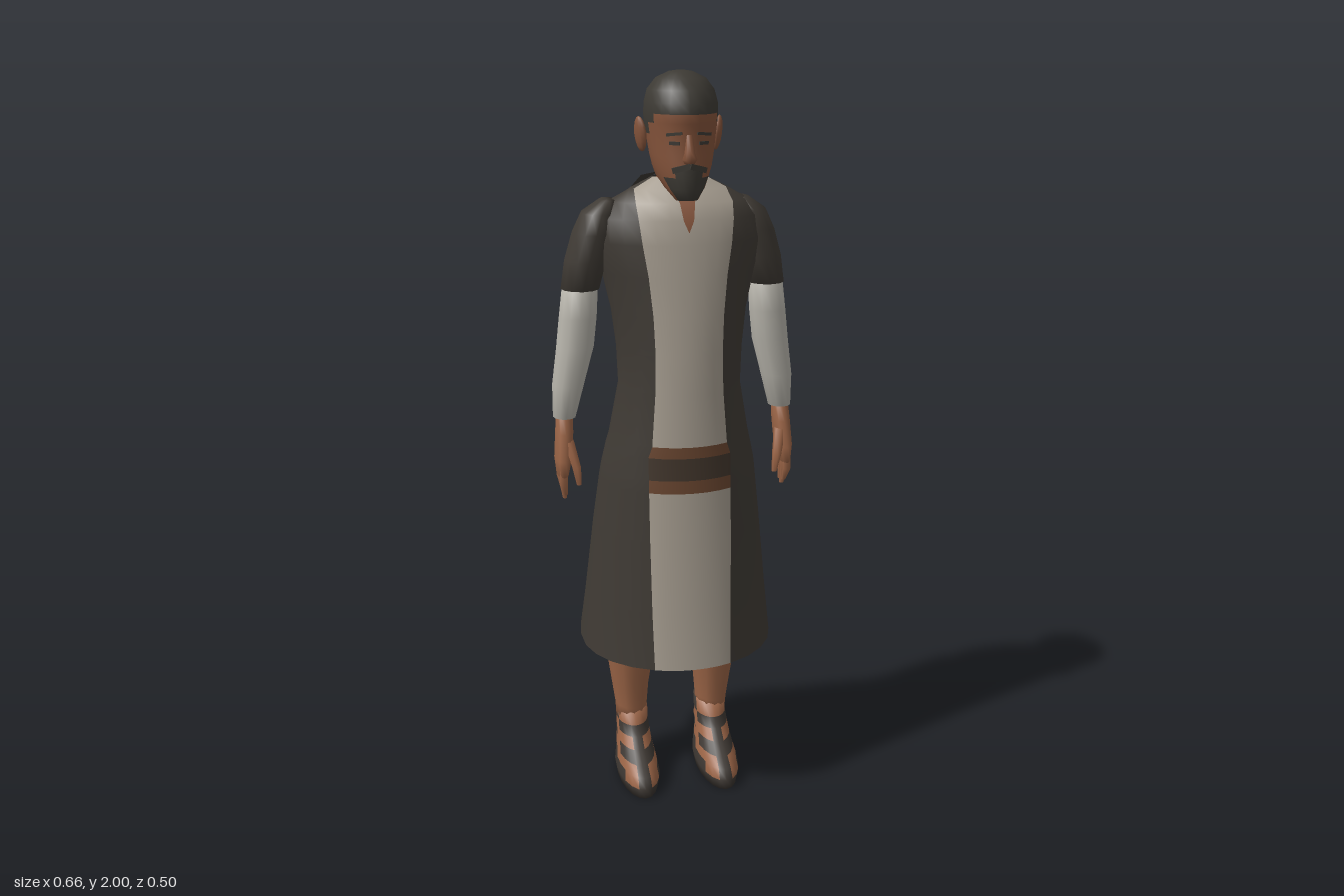
import * as THREE from 'three';

const mat = (name, color, side = THREE.FrontSide) => {
  const m = new THREE.MeshStandardMaterial({ color, side });
  m.name = name;
  return m;
};

// Skin closed rings of points (listed upwards); pick(row, col) gives a material index.
function skinRings(name, rows, mats, pick = () => 0, caps = true) {
  const n = rows[0].length, pos = rows.flat(2);
  const lists = mats.map(() => []);
  for (let i = 0; i < rows.length - 1; i++) {
    for (let j = 0; j < n; j++) {
      const k = (j + 1) % n, a = i * n + j, b = i * n + k;
      lists[pick(i, j)].push(a, b, a + n, b, b + n, a + n);
    }
  }
  if (caps) {
    const last = rows.length - 1;
    for (const i of [0, last]) {
      const c = pos.length / 3;
      for (let q = 0; q < 3; q++) pos.push(rows[i].reduce((s, p) => s + p[q], 0) / n);
      for (let j = 0; j < n; j++) {
        const a = i * n + j, b = i * n + (j + 1) % n;
        lists[pick(i ? last - 1 : 0, j)].push(...(i ? [c, a, b] : [c, b, a]));
      }
    }
  }
  const g = new THREE.BufferGeometry();
  g.setAttribute('position', new THREE.Float32BufferAttribute(pos, 3));
  g.setIndex(lists.flat());
  let start = 0;
  lists.forEach((l, i) => { g.addGroup(start, l.length, i); start += l.length; });
  g.computeVertexNormals();
  const mesh = new THREE.Mesh(g, mats.length > 1 ? mats : mats[0]);
  mesh.name = name;
  return mesh;
}

// Stack of horizontal ellipses [y, x, z, rx, rz]; s mirrors x.
function loft(name, rings, mats, seg = 10, s = 1, pick) {
  const rows = rings.map(([y, x, z, rx, rz]) => Array.from({ length: seg }, (_, j) => {
    const a = j / seg * Math.PI * 2;
    return [s * x + rx * Math.sin(a), y, z + rz * Math.cos(a)];
  }));
  return skinRings(name, rows, mats, pick);
}

// Open flat strip of triangles
function plate(name, pts, index, material) {
  const g = new THREE.BufferGeometry();
  g.setAttribute('position', new THREE.Float32BufferAttribute(pts.flat(), 3));
  g.setIndex(index);
  g.computeVertexNormals();
  const mesh = new THREE.Mesh(g, material);
  mesh.name = name;
  return mesh;
}

export function createModel() {
  const model = new THREE.Group();
  const D = THREE.DoubleSide;
  const cloth = mat('dark cloth', 0x3f3a34, D);
  const panel = mat('pale cloth', 0xa69d90, D);
  const beltEdge = mat('belt edge', 0x6a4630, D);
  const beltMid = mat('belt middle', 0x42362c, D);
  const sleeve = mat('sleeve cloth', 0xb7b4ab);
  const skin = mat('skin', 0x9a6446);
  const face = mat('face skin', 0x85543b, D);
  const hair = mat('hair', 0x3d3a34);
  const leather = mat('sandal leather', 0x3d3732);

  // Robe: [y, half width, front z, back z, middle z, panel half width]
  const levels = [
    [0.44, 0.27, 0.25, -0.25, 0, 0.105], [0.6, 0.253, 0.235, -0.215, 0, 0.108],
    [0.8, 0.232, 0.222, -0.165, 0.01, 0.11], [0.935, 0.216, 0.212, -0.127, 0.02, 0.11],
    [0.97, 0.211, 0.21, -0.119, 0.025, 0.11], [1.03, 0.198, 0.207, -0.107, 0.03, 0.11],
    [1.06, 0.19, 0.205, -0.1, 0.035, 0.1], [1.2, 0.164, 0.2, -0.072, 0.04, 0.09],
    [1.3, 0.168, 0.193, -0.075, 0.04, 0.088], [1.4, 0.18, 0.185, -0.085, 0.035, 0.092],
    [1.5, 0.203, 0.174, -0.095, 0.03, 0.102], [1.58, 0.224, 0.165, -0.095, 0.03, 0.115],
    [1.64, 0.215, 0.155, -0.08, 0.03, 0.122], [1.68, 0.18, 0.138, -0.06, 0.03, 0.125],
    [1.71, 0.125, 0.112, -0.03, 0.03, 0.12], [1.738, 0.068, 0.085, -0.008, 0.03, 0.067],
  ];
  const P = 6, S = 22;
  const robeRows = levels.map(([y, w, zf, zb, cz, p], i) => {
    const t = Math.asin(p / w), skirt = Math.max(0, 1 - i / 3), row = [];
    for (let j = 0; j < P + S; j++) {
      const a = j < P ? -t + 2 * t * j / P : t + (2 * Math.PI - 2 * t) * (j - P) / S;
      const c = Math.cos(a), sn = Math.sin(a);
      // The skirt is squarer at the back, where the hem lifts.
      const e = c < 0 ? 1 - 0.25 * skirt : 1;
      const x = Math.sign(sn) * Math.abs(sn) ** e * w;
      const z = c > 0 ? cz + (zf - cz) * c : cz - (cz - zb) * (-c) ** e;
      row.push([x + 0.01, y + (i === 0 && c < -0.6 ? 0.05 * (-c - 0.6) / 0.4 : 0), z]);
    }
    return row;
  });
  model.add(skinRings('robe', robeRows, [cloth, panel, beltEdge, beltMid], (i, j) =>
    j >= P ? 0 : i === 3 || i === 5 ? 2 : i === 4 ? 3 : 1, false));

  // Open neckline
  model.add(plate('neckline', [
    [0.01, 1.61, 0.165], [-0.003, 1.64, 0.16], [0.023, 1.64, 0.16], [-0.009, 1.68, 0.143],
    [0.029, 1.68, 0.143], [-0.018, 1.715, 0.113], [0.038, 1.715, 0.113],
  ], [0, 2, 1, 1, 2, 4, 1, 4, 3, 3, 4, 6, 3, 6, 5], face));

  for (const s of [1, -1]) {
    const side = s > 0 ? 'left' : 'right';

    // Collar points at the back
    model.add(plate(side + 'CollarPoint', [
      [s * 0.03, 1.745, -0.012], [s * 0.085, 1.74, 0.02], [s * 0.102, 1.695, -0.062],
    ], s > 0 ? [0, 1, 2] : [0, 2, 1], cloth));

    // Arm
    const arm = new THREE.Group();
    arm.name = side + 'Arm';
    arm.add(loft('upperSleeve', [
      [1.455, 0.248, 0.022, 0.051, 0.057], [1.53, 0.232, 0.022, 0.056, 0.067],
      [1.6, 0.213, 0.022, 0.054, 0.074], [1.65, 0.198, 0.025, 0.045, 0.065],
      [1.683, 0.175, 0.03, 0.02, 0.04],
    ], [cloth], 12, s));
    arm.add(loft('lowerSleeve', [
      [1.11, 0.297, 0.018, 0.031, 0.037], [1.2, 0.285, 0.021, 0.043, 0.048],
      [1.3, 0.265, 0.023, 0.05, 0.051], [1.38, 0.256, 0.023, 0.05, 0.051],
      [1.465, 0.248, 0.022, 0.047, 0.052],
    ], [sleeve], 12, s));
    arm.add(loft('palm', [
      [0.955, 0.308, 0.034, 0.016, 0.046], [1.0, 0.306, 0.036, 0.023, 0.05],
      [1.07, 0.3, 0.028, 0.024, 0.04], [1.13, 0.297, 0.018, 0.022, 0.028],
    ], [skin], 10, s));
    [[-0.002, 0.92], [0.021, 0.892], [0.043, 0.885], [0.065, 0.9]].forEach(([z, tip], i) =>
      arm.add(loft('finger' + (i + 1), [
        [tip, 0.304, z * 0.8 + 0.003, 0.006, 0.007], [0.935, 0.309, z, 0.012, 0.012],
        [0.985, 0.308, z, 0.013, 0.013],
      ], [skin], 6, s)));
    arm.add(loft('thumb', [
      [0.935, 0.27, 0.08, 0.007, 0.008], [0.985, 0.276, 0.08, 0.013, 0.014],
      [1.05, 0.292, 0.052, 0.016, 0.02],
    ], [skin], 6, s));
    model.add(arm);

    // Leg and sandal
    const leg = new THREE.Group();
    leg.name = side + 'Leg';
    leg.position.x = 0.008;
    leg.add(loft('calf', [
      [0.15, 0.12, -0.06, 0.044, 0.058], [0.2, 0.12, -0.056, 0.047, 0.061],
      [0.27, 0.122, -0.056, 0.055, 0.068], [0.36, 0.122, -0.052, 0.068, 0.083],
      [0.44, 0.122, -0.045, 0.073, 0.085], [0.7, 0.115, -0.01, 0.08, 0.08],
    ], [skin], 12, s));
    leg.add(loft('sandalledFoot', [
      [0, 0.118, 0.022, 0.056, 0.144], [0.03, 0.118, 0.023, 0.061, 0.147],
      [0.055, 0.118, 0.014, 0.057, 0.136], [0.075, 0.118, -0.004, 0.053, 0.118],
      [0.1, 0.118, -0.026, 0.049, 0.097], [0.125, 0.118, -0.043, 0.047, 0.081],
      [0.15, 0.118, -0.055, 0.045, 0.069], [0.19, 0.118, -0.062, 0.046, 0.063],
    ], [leather, skin], 20, s, (i, j) => {
      const d = Math.min(j, 19 - j); // 0 at the toe, 9 at the heel
      if (i === 0 || (i < 6 && d > 6)) return 0;
      if (i === 1) return d === 1 || d === 2 ? 1 : 0;
      if (i === 6) return d < 4 ? 1 : 0;
      return i % 2 ? (d < 1 ? 0 : d < 4 ? 0 : 1) : (d < 1 || d > 4 ? 0 : 1);
    }));
    model.add(leg);
  }

  // Head
  const head = new THREE.Group();
  head.name = 'head';
  head.position.x = 0.006;
  head.add(loft('neck', [
    [1.62, 0, 0.03, 0.06, 0.05], [1.72, 0, 0.032, 0.054, 0.046], [1.8, 0, 0.045, 0.055, 0.05],
  ], [face], 12));
  head.add(loft('skull', [
    [1.692, 0, 0.15, 0.028, 0.026], [1.72, 0, 0.123, 0.05, 0.064], [1.748, 0, 0.095, 0.066, 0.092],
    [1.772, 0, 0.09, 0.074, 0.097], [1.8, 0, 0.084, 0.08, 0.1], [1.85, 0, 0.076, 0.087, 0.108],
    [1.878, 0, 0.073, 0.091, 0.116], [1.9, 0, 0.074, 0.092, 0.118], [1.925, 0, 0.075, 0.091, 0.113],
    [1.955, 0, 0.074, 0.083, 0.1], [1.982, 0, 0.075, 0.062, 0.074], [1.997, 0, 0.075, 0.03, 0.036],
    [2, 0, 0.075, 0.01, 0.012],
  ], [face, hair], 24, 1, (i, j) => {
    const d = Math.min(j, 23 - j); // 0 at the front, 11 at the back
    const hairStart = [99, 99, 10, 9, 7, 5, 4, 0][Math.min(i, 7)];
    const beardEnd = [4, 4, 2][i] ?? 0;
    return d >= hairStart || d < beardEnd ? 1 : 0;
  }));
  head.add(loft('nose', [
    [1.783, 0, 0.182, 0.013, 0.012], [1.793, 0, 0.184, 0.019, 0.021],
    [1.81, 0, 0.183, 0.013, 0.018], [1.852, 0, 0.178, 0.009, 0.011],
  ], [face], 8));
  for (const s of [1, -1]) {
    const put = (name, geo, m, x, y, z, ry, rz = 0) => {
      const mesh = new THREE.Mesh(geo, m);
      mesh.name = name;
      mesh.position.set(s * x, y, z);
      mesh.rotation.set(0, s * ry, s * rz);
      head.add(mesh);
    };
    put('ear', new THREE.SphereGeometry(1, 10, 8).scale(0.012, 0.044, 0.023), face, 0.099, 1.846, 0.058, -0.35, -0.12);
    put('eye', new THREE.BoxGeometry(0.026, 0.008, 0.008), hair, 0.036, 1.832, 0.174, 0.38);
    put('brow', new THREE.BoxGeometry(0.04, 0.007, 0.008), hair, 0.037, 1.854, 0.175, 0.38, -0.1);
    put('moustache', new THREE.BoxGeometry(0.046, 0.014, 0.009), hair, 0.021, 1.772, 0.184, 0.3, -0.25);
  }
  model.add(head);
  return model;
}
